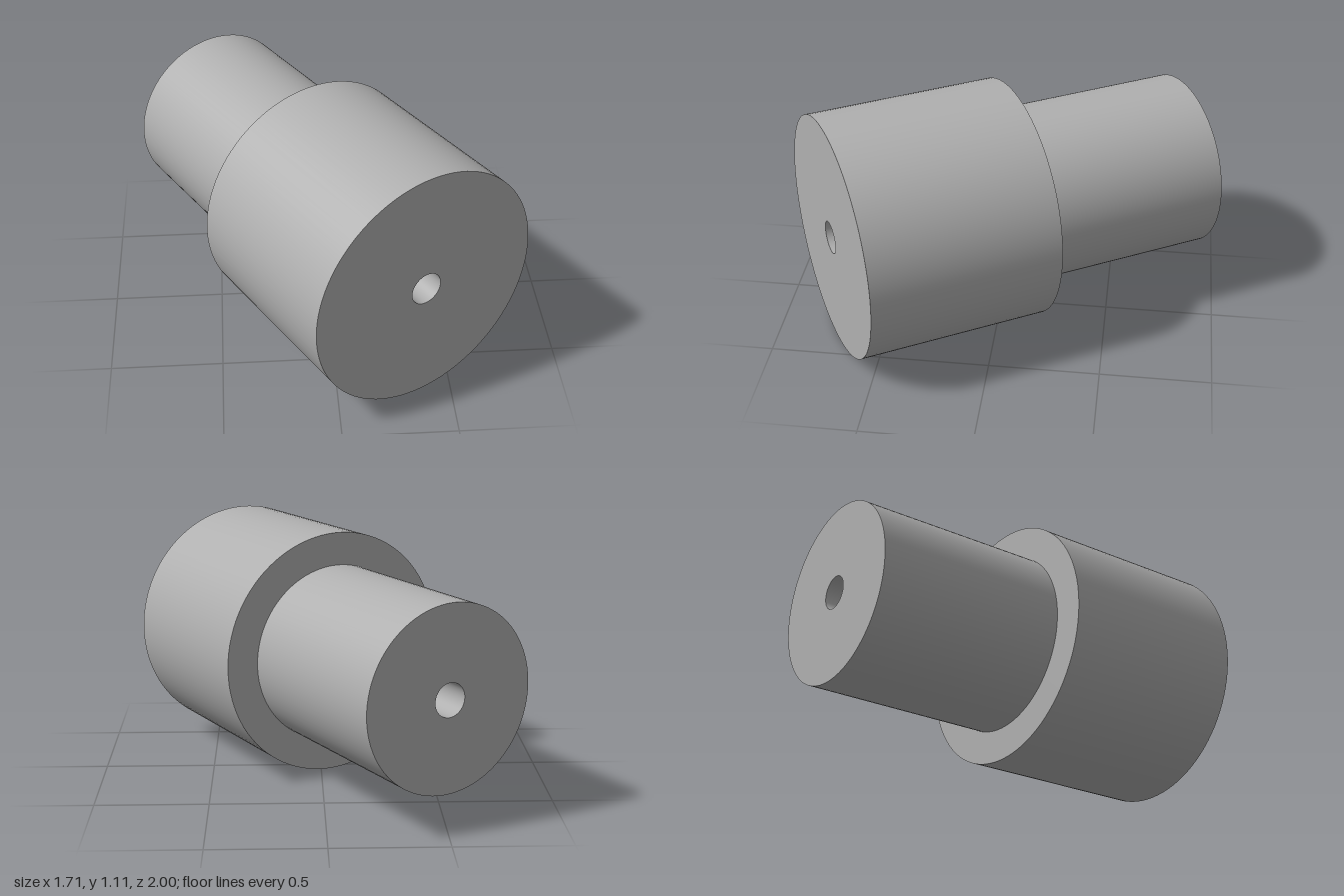
import * as THREE from 'three';
import { mergeGeometries } from 'three/addons/utils/BufferGeometryUtils.js';

const BIG = 0.555, SMALL = 0.407, BORE = 0.074, HALF = 0.876;

// Revolve each straight run separately so the rims stay sharp
function turned(points) {
  const bands = [];
  for (let i = 0; i < points.length - 1; i++) {
    const run = [points[i], points[i + 1]].map(([r, y]) => new THREE.Vector2(r, y));
    bands.push(new THREE.LatheGeometry(run, 96));
  }
  return mergeGeometries(bands);
}

export function createModel() {
  const model = new THREE.Group();
  const metal = new THREE.MeshStandardMaterial({ color: 0xb0b0b0 });
  metal.name = 'grey metal';

  const bushing = new THREE.Group();
  bushing.name = 'steppedBushing';
  const add = (name, points) => {
    const mesh = new THREE.Mesh(turned(points), metal);
    mesh.name = name;
    bushing.add(mesh);
  };

  // Narrow rear barrel with its end face
  add('rearBarrel', [[BORE, -HALF], [SMALL, -HALF], [SMALL, 0]]);
  // Wide front barrel with shoulder and front face
  add('frontBarrel', [[SMALL, 0], [BIG, 0], [BIG, HALF], [BORE, HALF]]);
  // Bore running the full length
  add('bore', [[BORE, HALF], [BORE, -HALF]]);

  // Lay the axis level, turned 30 degrees toward +x
  bushing.rotation.set(Math.PI / 2, 0, -Math.PI / 6);
  bushing.position.set(-0.065, BIG, -0.039);
  model.add(bushing);
  return model;
}
